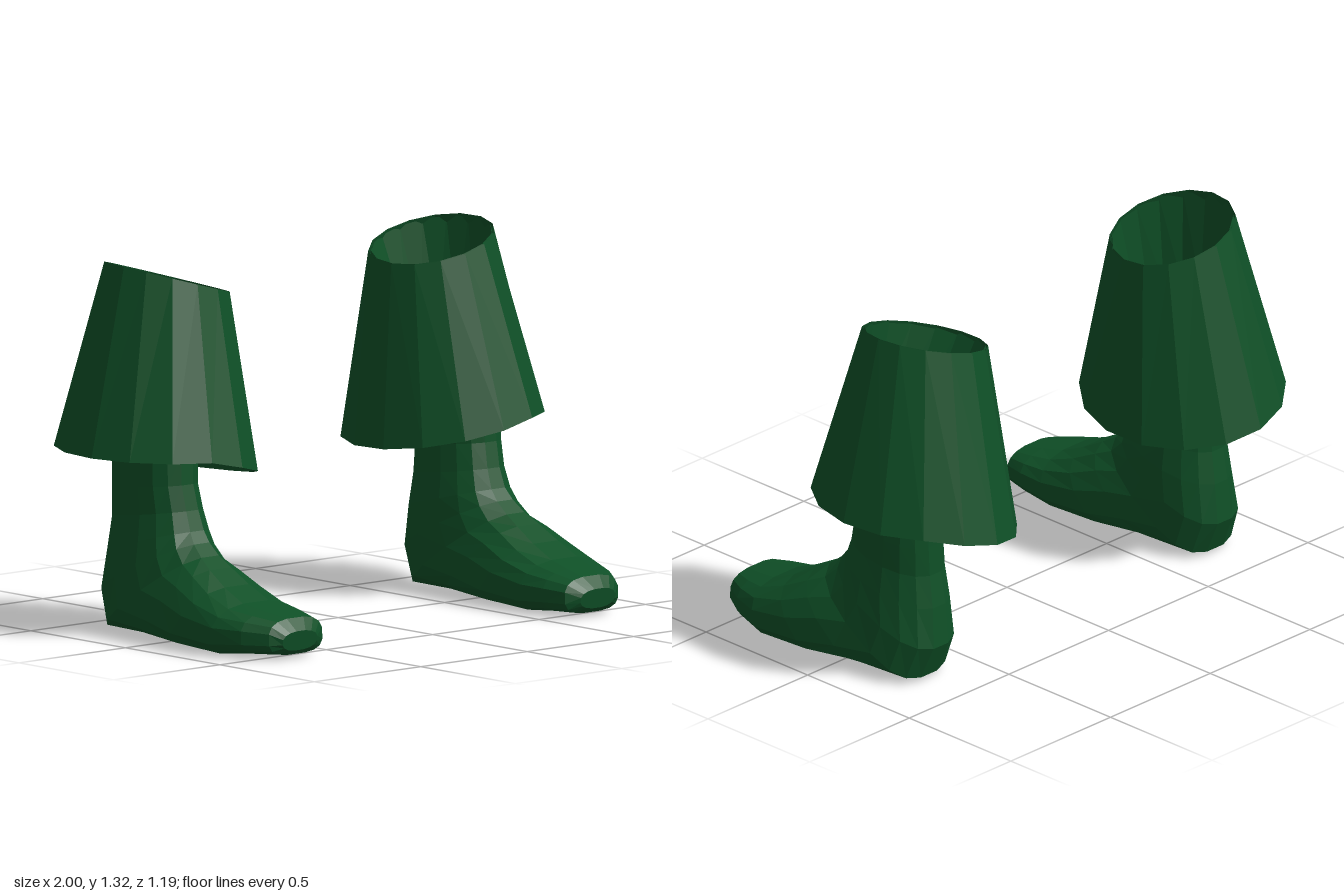
import * as THREE from 'three';

const green = new THREE.MeshStandardMaterial({ color: 0x0f5027, flatShading: true, side: THREE.DoubleSide });
green.name = 'darkGreen';

// Joins closed rings of points (listed top to bottom) into a skin; side = -1 mirrors it in x.
function loft(rings, side, capEnd) {
  const n = rings[0].length;
  const pos = [], idx = [];
  const tri = (a, b, c) => (side > 0 ? idx.push(a, b, c) : idx.push(a, c, b));
  rings.forEach(r => r.forEach(p => pos.push(side * p[0], p[1], p[2])));
  for (let i = 0; i < rings.length - 1; i++) {
    for (let j = 0; j < n; j++) {
      const a = i * n + j, b = i * n + (j + 1) % n;
      tri(a, b, a + n);
      tri(b, b + n, a + n);
    }
  }
  if (capEnd) {
    const base = (rings.length - 1) * n;
    for (let j = 1; j < n - 1; j++) tri(base, base + j, base + j + 1);
  }
  const g = new THREE.BufferGeometry();
  g.setAttribute('position', new THREE.Float32BufferAttribute(pos, 3));
  g.setIndex(idx);
  g.computeVertexNormals();
  return g;
}

// Flared cuff: slanted top opening, wavy hem, thin wall.
function cuffRings() {
  const n = 15;
  const ring = (f, grow) => Array.from({ length: n }, (_, j) => {
    const a = (j / n) * Math.PI * 2 + 0.07;
    return f(Math.cos(a), Math.sin(a), grow);
  });
  const top = (c, s, d) => {
    const x = 0.62 + (0.219 + d) * c, z = -0.205 + (0.226 + d) * s;
    return [x, 1.255 + 0.28 * (x - 0.62) - 0.05 * (z + 0.2), z];
  };
  const hem = (c, s, d) => [
    0.672 + (0.33 + d) * c,
    Math.min(0.652, 0.615 + 0.075 * c + 0.02 * s),
    -0.205 + (0.397 + d) * s,
  ];
  return [ring(top, 0), ring(hem, 0), ring(hem, -0.018), ring(top, -0.008)];
}

// Leg and foot: each section runs from a front/top point to a back/bottom point.
// [frontZ, frontY, backZ, backY, innerX, outerX, squareness, lowness, tilt]
const sections = [
  [0.01, 1.24, -0.42, 1.26, 0.41, 0.83, 2, 1, 0.28],
  [0.01, 0.92, -0.36, 0.92, 0.54, 0.83, 2, 1, 0.1],
  [0.0, 0.65, -0.34, 0.65, 0.59, 0.83, 2.2, 1, 0],
  [0.005, 0.55, -0.34, 0.52, 0.595, 0.83, 2.2, 1, 0],
  [0.025, 0.46, -0.342, 0.41, 0.585, 0.83, 2.2, 1, 0],
  [0.05, 0.39, -0.36, 0.29, 0.57, 0.845, 2.2, 1, 0],
  [0.08, 0.35, -0.373, 0.14, 0.565, 0.86, 2.3, 1.1, 0],
  [0.13, 0.31, -0.32, 0.015, 0.56, 0.875, 2.4, 1.2, 0],
  [0.19, 0.275, -0.1, 0.02, 0.55, 0.895, 2.6, 1.3, 0],
  [0.28, 0.225, 0.1, 0.01, 0.535, 0.915, 2.7, 1.4, 0],
  [0.38, 0.18, 0.33, 0.0, 0.535, 0.915, 2.8, 1.3, 0],
  [0.47, 0.16, 0.47, 0.012, 0.545, 0.875, 2.8, 1.2, 0],
  [0.555, 0.142, 0.56, 0.014, 0.57, 0.82, 2.8, 1.1, 0],
  [0.592, 0.1, 0.58, 0.03, 0.62, 0.78, 2.4, 1, 0],
];

function legRings() {
  const n = 16;
  return sections.map(([fz, fy, bz, by, x0, x1, sq, low, tilt]) =>
    Array.from({ length: n }, (_, j) => {
      const a = ((j + 0.5) / n) * Math.PI * 2;
      const bend = v => Math.sign(v) * Math.pow(Math.abs(v), 2 / sq);
      const c = bend(Math.cos(a)) / bend(Math.cos(Math.PI / n));
      const s = bend(Math.sin(a)) / bend(Math.cos(Math.PI / n));
      const t = Math.pow((1 + s) / 2, low);
      const half = (x1 - x0) / 2;
      return [(x0 + x1) / 2 + half * c, by + (fy - by) * t + tilt * half * c, bz + (fz - bz) * t];
    }));
}

export function createModel() {
  const model = new THREE.Group();
  model.name = 'pairOfFeet';
  for (const [side, label] of [[1, 'left'], [-1, 'right']]) {
    const leg = new THREE.Group();
    leg.name = label + 'Leg';
    const cuff = new THREE.Mesh(loft(cuffRings(), side, false), green);
    cuff.name = label + 'TrouserCuff';
    const foot = new THREE.Mesh(loft(legRings(), side, true), green);
    foot.name = label + 'Foot';
    leg.add(cuff, foot);
    model.add(leg);
  }
  return model;
}
